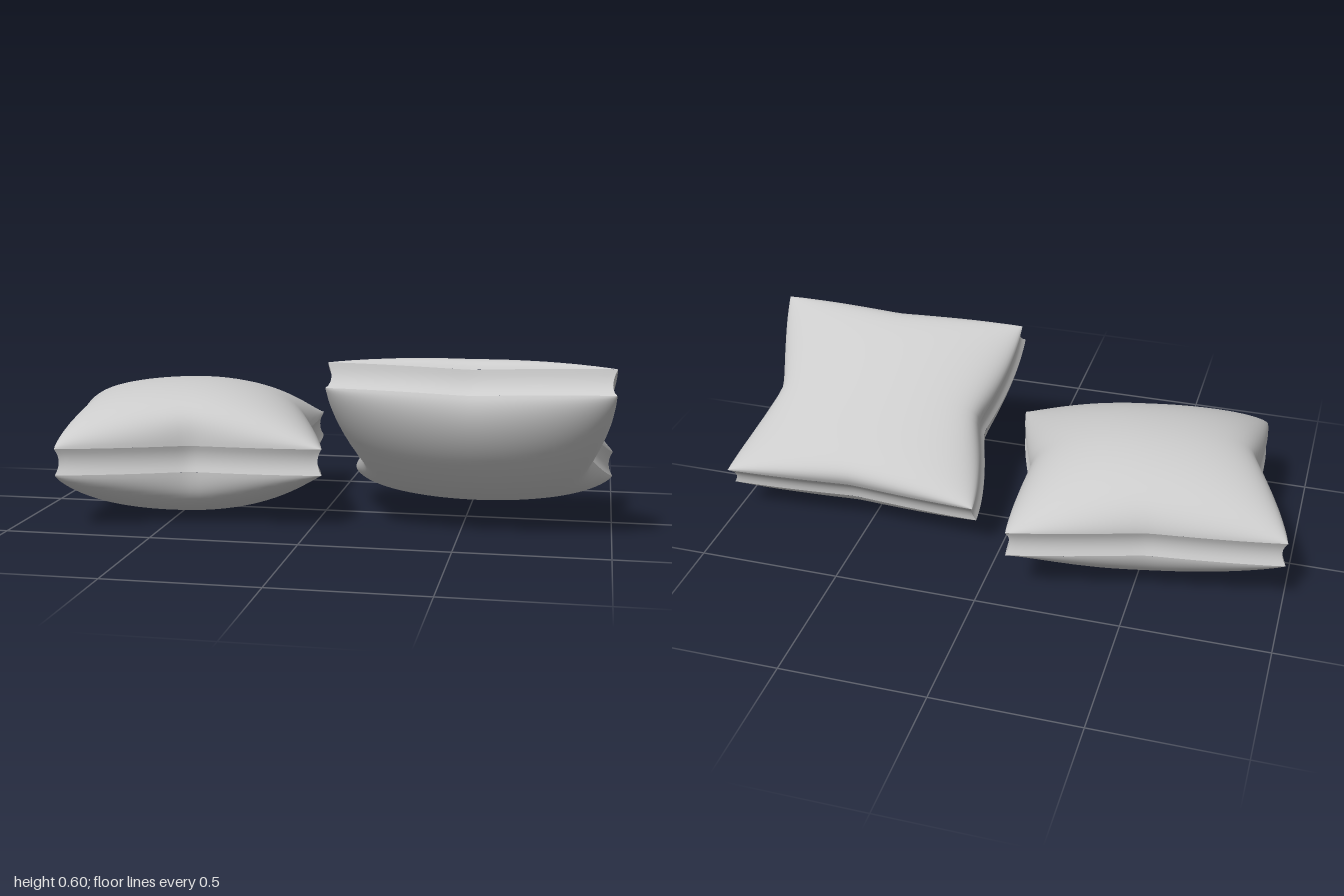
import * as THREE from 'three';
import { mergeGeometries } from 'three/addons/utils/BufferGeometryUtils.js';

const HALF_BAND = 0.045; // half height of the side strip
const material = new THREE.MeshStandardMaterial({ color: 0xcccccc });

// Grid surface from fn(a, b), a and b in -1..1; flip reverses the facing
function patch(na, nb, fn, flip) {
  const pos = [], index = [];
  for (let j = 0; j <= nb; j++) {
    for (let i = 0; i <= na; i++) pos.push(...fn((2 * i) / na - 1, (2 * j) / nb - 1));
  }
  for (let j = 0; j < nb; j++) {
    for (let i = 0; i < na; i++) {
      const p = j * (na + 1) + i, q = p + 1, r = p + na + 1, s = r + 1;
      if (flip) index.push(p, q, s, p, s, r);
      else index.push(p, s, q, p, r, s);
    }
  }
  const g = new THREE.BufferGeometry();
  g.setAttribute('position', new THREE.Float32BufferAttribute(pos, 3));
  g.setIndex(index);
  g.computeVertexNormals();
  return g;
}

// Pinch is strongest at the middle of an edge and fades to the corners
const pinchShape = (t) => Math.max(0, 1 - Math.sqrt(t * t + 0.002)) ** 1.6;
const ease = (t) => (Math.abs(t) === 1 ? t : Math.sin((t * Math.PI) / 2));

// pinch and puff are given per side: left, right, front, back
function makeCushion(name, { place, loft, pinch, puff }) {
  const at = (u, v, n, scale = 1) => {
    const du = u > 0 ? pinch.left : pinch.right;
    const dv = v > 0 ? pinch.front : pinch.back;
    const pu = u * (1 - du * pinchShape(v) * u ** 4);
    const pv = v * (1 - dv * pinchShape(u) * v ** 4);
    return place(pu * scale, pv * scale, n);
  };
  const height = (u, v) => {
    const fu = Math.max(0, 1 - u * u) ** (u > 0 ? puff.left : puff.right);
    const fv = Math.max(0, 1 - v * v) ** (v > 0 ? puff.front : puff.back);
    return HALF_BAND + loft * fu * fv;
  };
  const panel = (side) => patch(40, 40, (a, b) => {
    const u = ease(a), v = ease(b);
    return at(u, v, side * height(u, v));
  }, side < 0);

  // Side strip, slightly hollow between the two seams
  const strip = (edge, flip) => patch(40, 6, (a, w) => {
    const [u, v] = edge(a);
    return at(u, v, w * HALF_BAND, 1 - 0.03 * (1 - w * w));
  }, flip);
  const gusset = mergeGeometries([
    strip((a) => [a, 1], true),
    strip((a) => [a, -1], false),
    strip((a) => [1, a], false),
    strip((a) => [-1, a], true),
  ]);

  const group = new THREE.Group();
  group.name = name;
  for (const [part, geometry] of [['topPanel', panel(1)], ['bottomPanel', panel(-1)], ['sideStrip', gusset]]) {
    const mesh = new THREE.Mesh(geometry, material);
    mesh.name = part;
    group.add(mesh);
  }
  return group;
}

export function createModel() {
  const model = new THREE.Group();
  model.name = 'cushions';

  // Cushion lying flat, turned a little; corners blended bilinearly
  const corners = [[-1, -0.28], [-0.1, -0.47], [-0.84, 0.46], [0.04, 0.3]];
  model.add(makeCushion('flatCushion', {
    place: (u, v, n) => {
      const w = [(1 - u) * (1 - v), (1 + u) * (1 - v), (1 - u) * (1 + v), (1 + u) * (1 + v)];
      const sum = (k) => corners.reduce((s, c, i) => s + (c[k] * w[i]) / 4, 0);
      return [sum(0), 0.233 + n, sum(1)];
    },
    loft: 0.188,
    pinch: { left: 0.12, right: 0.18, front: 0.17, back: 0.08 },
    puff: { left: 0.6, right: 0.35, front: 0.5, back: 0.6 },
  }));

  // Cushion tilted up at the front and sagging in the middle
  model.add(makeCushion('tiltedCushion', {
    place: (u, v, n) => {
      const t = 0.378 * v;
      const h = n - 0.07 * (1 - v * v);
      return [0.54 + 0.46 * u, 0.3525 + 0.51 * t + 0.86 * h, 0.09 + 0.86 * t - 0.51 * h];
    },
    loft: 0.135,
    pinch: { left: 0.18, right: 0.18, front: 0.05, back: 0.06 },
    puff: { left: 0.5, right: 0.5, front: 0.48, back: 0.42 },
  }));

  return model;
}
